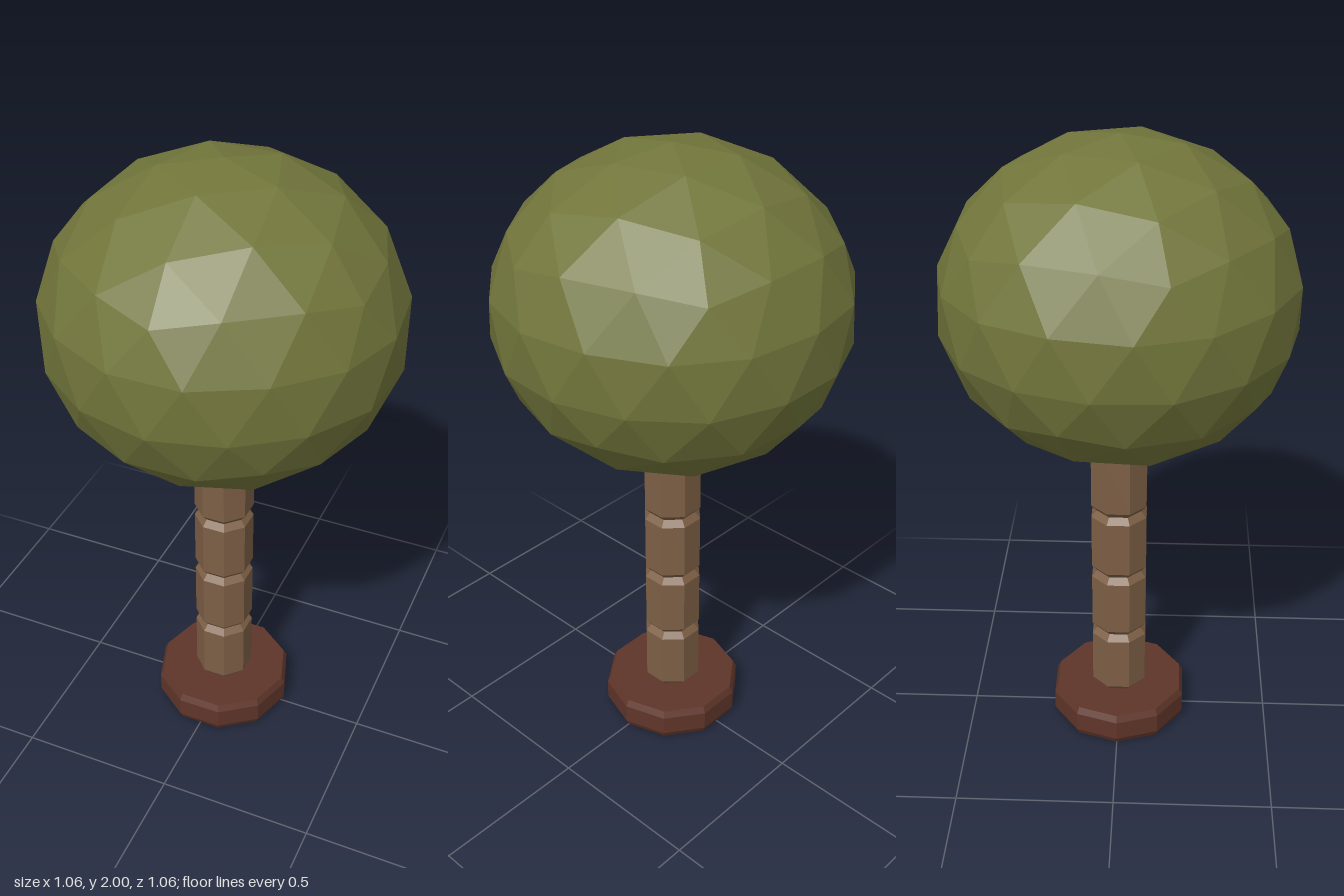
import * as THREE from 'three';

const material = (name, color) => {
  const m = new THREE.MeshStandardMaterial({ color, flatShading: true });
  m.name = name;
  return m;
};

// Solid faceted prism with chamfered top and bottom rims, flat side facing +z
function chamferedPrism(sides, radius, height, inset, chamfer) {
  const profile = [
    [0, 0], [radius - inset, 0], [radius, chamfer],
    [radius, height - chamfer], [radius - inset, height], [0, height],
  ].map(([r, y]) => new THREE.Vector2(r, y));
  const geometry = new THREE.LatheGeometry(profile, sides).toNonIndexed();
  geometry.rotateY(Math.PI / sides);
  geometry.computeVertexNormals();
  return geometry;
}

export function createModel() {
  const tree = new THREE.Group();
  tree.name = 'tree';
  const leaf = material('leaf green', 0x72763b);
  const bark = material('bark brown', 0x7d5f45);
  const wood = material('dark red wood', 0x5f3529);

  const add = (parent, name, geometry, mat, y) => {
    const mesh = new THREE.Mesh(geometry, mat);
    mesh.name = name;
    mesh.position.y = y;
    parent.add(mesh);
  };

  // Ten-sided base
  add(tree, 'base', chamferedPrism(10, 0.228, 0.11, 0.011, 0.022), wood, 0);

  // Trunk of four stacked eight-sided segments
  const trunk = new THREE.Group();
  trunk.name = 'trunk';
  tree.add(trunk);
  const pitch = 0.229;
  const segment = chamferedPrism(8, 0.095, pitch, 0.018, 0.021);
  for (let i = 0; i < 4; i++) {
    add(trunk, `trunkSegment${i + 1}`, segment, bark, 0.108 + i * pitch);
  }

  // Faceted crown: one corner turned to the top, then slightly flattened
  const crown = new THREE.IcosahedronGeometry(1, 2);
  crown.rotateX(-Math.atan((1 + Math.sqrt(5)) / 2));
  crown.scale(0.542, 0.488, 0.542);
  crown.computeVertexNormals();
  add(tree, 'crown', crown, leaf, 1.512);

  return tree;
}
